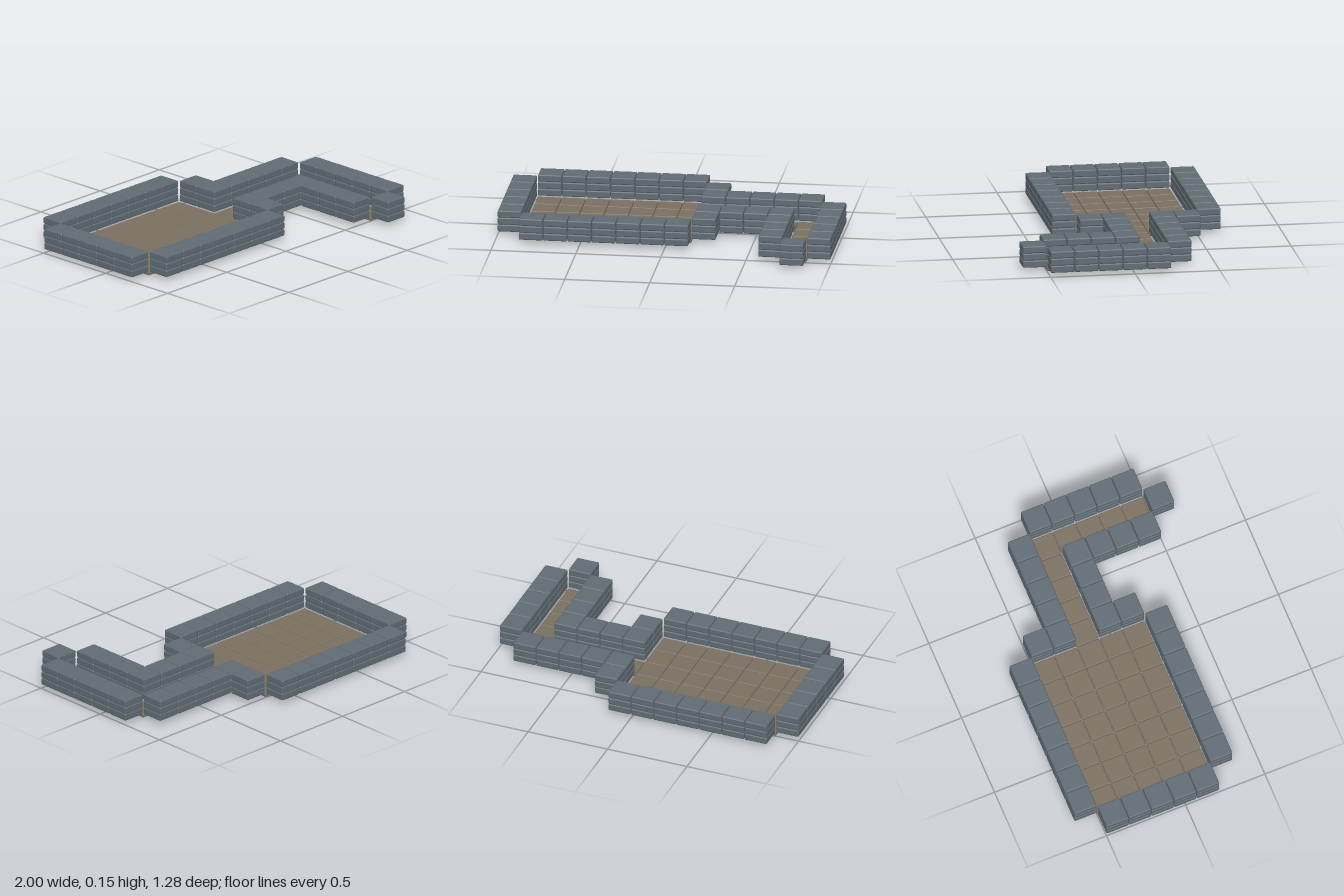
import * as THREE from 'three';
import { RoundedBoxGeometry } from 'three/addons/geometries/RoundedBoxGeometry.js';

// Floor plan, back row first: # wall, . floor tile
const PLAN = [
  ' #######      ',
  '#.......#     ',
  '#.......##### ',
  '#............#',
  '#.......####.#',
  '#.......#  #.#',
  ' #######   #.#',
  '           #.#',
  '            # ',
];
const CELL = 1 / 7;
const BLOCK = 0.14;
const WALL_BASE = 0.024;
const LAYER = 0.0428;

export function createModel() {
  const model = new THREE.Group();
  model.name = 'dungeonRooms';

  const stone = new THREE.MeshStandardMaterial({ color: 0x5f6b73 });
  stone.name = 'slate stone';
  const earth = new THREE.MeshStandardMaterial({ color: 0x7a7060 });
  earth.name = 'brown floor';

  const brickGeometry = new RoundedBoxGeometry(BLOCK, 0.0415, BLOCK, 1, 0.007);
  const tileGeometry = new RoundedBoxGeometry(BLOCK, 0.0215, BLOCK, 1, 0.005);

  const walls = new THREE.Group();
  walls.name = 'walls';
  const floor = new THREE.Group();
  floor.name = 'floor';
  model.add(walls, floor);

  const place = (parent, name, geometry, material, x, y, z) => {
    const mesh = new THREE.Mesh(geometry, material);
    mesh.name = name;
    mesh.position.set(x, y, z);
    parent.add(mesh);
  };

  PLAN.forEach((line, row) => {
    [...line].forEach((cell, col) => {
      const x = (col - 6.5) * CELL;
      const z = (row - 4) * CELL;
      // Three stacked bricks per wall cell
      if (cell === '#') {
        for (let i = 0; i < 3; i++) {
          place(walls, 'wallBrick', brickGeometry, stone, x, WALL_BASE + 0.0208 + i * LAYER, z);
        }
      }
      // One thin tile per floor cell
      if (cell === '.') place(floor, 'floorTile', tileGeometry, earth, x, 0.01075, z);
    });
  });

  return model;
}
